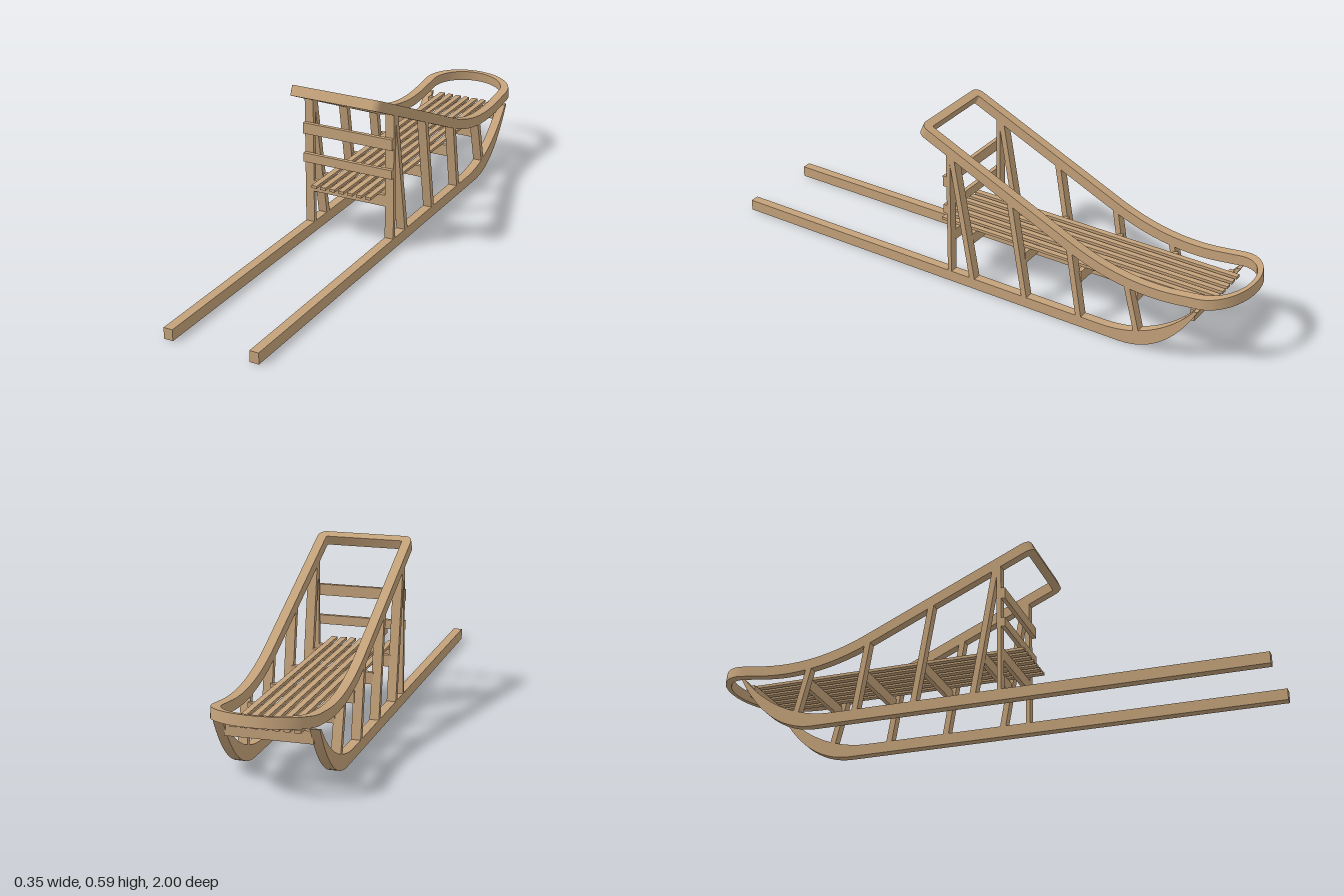
import * as THREE from 'three';
import { toCreasedNormals } from 'three/addons/utils/BufferGeometryUtils.js';

const wood = new THREE.MeshStandardMaterial({ color: 0xc4a27a });
const X_IN = 0.14, X_OUT = 0.173;

// Height and slope of the rail's centre line along z: straight, sweeping curve, straight nose
function railAt(z) {
  const d = Math.max(0, -0.39 - z), c = Math.min(d, 0.41);
  const slope = 0.449 - 1.416 * c;
  const y = d === 0
    ? 0.302 + 0.449 * (z + 0.39)
    : 0.302 - 0.449 * c + 0.708 * c * c - slope * (d - c);
  return { y, slope };
}

// Closed rail loop, a rectangular section carried round the plan outline
function railGeometry() {
  const plan = []; // [outer x, outer z, inner x, inner z]
  for (let i = 0; i <= 32; i++) {
    const t = Math.PI * i / 32, c = Math.cos(t), s = Math.sin(t);
    plan.push([X_OUT * c, -0.875 - 0.125 * s, X_IN * c, -0.875 - 0.109 * s]);
  }
  const side = [];
  for (let i = 1; i <= 24; i++) {
    const z = -0.875 + 0.515 * i / 24;
    side.push([-X_OUT, z, -X_IN, z]);
  }
  for (let i = 0; i <= 6; i++) {
    const a = Math.PI / 2 * i / 6, c = Math.cos(a), s = Math.sin(a);
    side.push([-0.145 - 0.028 * c, 0.181 + 0.028 * s, -0.134 - 0.006 * c, 0.176 + 0.006 * s]);
  }
  plan.push(...side, ...side.slice().reverse().map(([a, b, c, d]) => [-a, b, -c, d]));

  const h = 0.0185;
  const rings = plan.map(([ox, oz, ix, iz]) => {
    const corner = (x, z, sign) => {
      const { y, slope } = railAt(z), len = Math.hypot(1, slope);
      return [x, y + sign * h / len, z - sign * h * slope / len];
    };
    return [corner(ox, oz, 1), corner(ox, oz, -1), corner(ix, iz, -1), corner(ix, iz, 1)];
  });
  const pos = [];
  rings.forEach((r, i) => {
    const n = rings[(i + 1) % rings.length];
    for (let k = 0; k < 4; k++) {
      const j = (k + 1) % 4;
      pos.push(...r[k], ...r[j], ...n[k], ...r[j], ...n[j], ...n[k]);
    }
  });
  const g = new THREE.BufferGeometry();
  g.setAttribute('position', new THREE.Float32BufferAttribute(pos, 3));
  return toCreasedNormals(g, 0.5);
}

// Side profile drawn in (-z, y), given thickness across x
function prism(shape, x0, x1) {
  const g = new THREE.ExtrudeGeometry(shape, { depth: x1 - x0, bevelEnabled: false, curveSegments: 16 });
  g.rotateY(Math.PI / 2).translate(x0, 0, 0);
  return toCreasedNormals(g, 0.5);
}

function runnerShape() {
  const s = new THREE.Shape();
  s.moveTo(-1, 0);
  s.lineTo(0.59, 0);
  s.bezierCurveTo(0.72, 0, 0.81, 0.09, 0.876, 0.215);
  s.lineTo(0.862, 0.213);
  s.bezierCurveTo(0.8, 0.13, 0.68, 0.04, 0.52, 0.04);
  s.lineTo(-1, 0.04);
  s.closePath();
  return s;
}

export function createModel() {
  const model = new THREE.Group();
  const add = (name, geometry) => {
    const m = new THREE.Mesh(geometry, wood);
    m.name = name;
    model.add(m);
    return m;
  };
  const box = (name, x0, x1, y0, y1, z0, z1) =>
    add(name, new THREE.BoxGeometry(x1 - x0, y1 - y0, z1 - z0))
      .position.set((x0 + x1) / 2, (y0 + y1) / 2, (z0 + z1) / 2);

  add('handRail', railGeometry());

  // Slanted struts: top z, top y, bottom z, bottom y
  const struts = [
    [0.079, 0.505, -0.004, 0.035],
    [-0.157, 0.4, -0.219, 0.035],
    [-0.392, 0.295, -0.436, 0.035],
    [-0.613, 0.232, -0.658, 0.055],
  ];
  for (const [side, x0, x1] of [['left', X_IN, X_OUT], ['right', -X_OUT, -X_IN]]) {
    add(side + 'Runner', prism(runnerShape(), x0, x1));
    box(side + 'Post', x0, x1, 0.035, 0.51, 0.083, 0.098);
    for (const [tz, ty, bz, by] of struts) {
      const w = 0.0105;
      const outline = [[-tz - w, ty], [-bz - w, by], [-bz + w, by], [-tz + w, ty]];
      add(side + 'Strut', prism(new THREE.Shape(outline.map(p => new THREE.Vector2(...p))), x0, x1));
    }
  }

  // Cross bars carrying the bed
  for (const z of [0.09, 0.021, -0.199, -0.419, -0.634, -0.845])
    box('crossBar', -X_IN - 0.005, X_IN + 0.005, 0.158, 0.2, z - 0.008, z + 0.008);

  // Bed slats
  for (let i = -3; i <= 3; i++)
    box('bedSlat', i * 0.035 - 0.0105, i * 0.035 + 0.0105, 0.2, 0.21, -0.885, 0.16);

  // Boards across the upright posts
  box('upperBackBoard', -X_OUT, X_OUT, 0.377, 0.417, 0.098, 0.113);
  box('lowerBackBoard', -X_OUT, X_OUT, 0.271, 0.304, 0.098, 0.113);

  return model;
}
